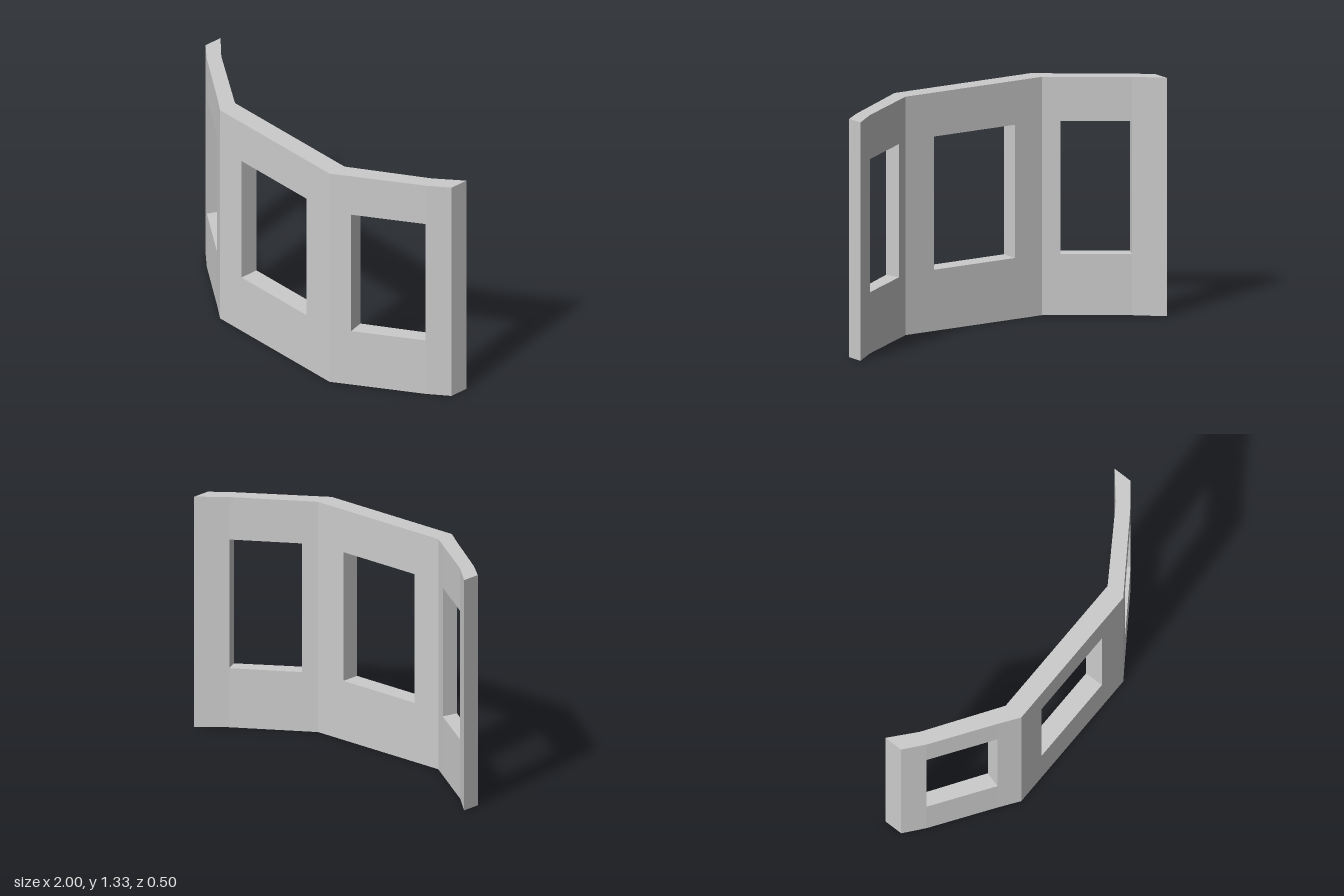
import * as THREE from 'three';

// Plan stations from right to left: front x, z, back x, z; open = a window spans to the next station
const stations = [
  { f: [-1, -0.145], b: [-1, -0.255] },
  { f: [-0.89, -0.055], b: [-0.855, -0.13], open: true },
  { f: [-0.555, 0.172], b: [-0.53, 0.084] },
  { f: [-0.445, 0.25], b: [-0.445, 0.14] },
  { f: [-0.27, 0.25], b: [-0.27, 0.14], open: true },
  { f: [0.258, 0.25], b: [0.258, 0.14] },
  { f: [0.445, 0.25], b: [0.445, 0.14] },
  { f: [0.545, 0.181], b: [0.52, 0.091], open: true },
  { f: [0.89, -0.055], b: [0.855, -0.13] },
  { f: [1, -0.145], b: [1, -0.255] },
];

// Heights: floor, window sill, window head, top
const levels = [0, 0.342, 1.087, 1.333];

function wallGeometry() {
  const positions = [];
  const at = ([x, z], y) => [x, y, z];
  const quad = (a, b, c, d) => positions.push(...a, ...b, ...c, ...a, ...c, ...d);

  // Upright face from plan point p to q, outward to the right of travel
  const upright = (p, q, band) => {
    const lo = levels[band], hi = levels[band + 1];
    quad(at(p, lo), at(q, lo), at(q, hi), at(p, hi));
  };
  // Level face between two stations, facing up or down
  const level = (s, t, y, up) => {
    const c = [at(s.f, y), at(t.f, y), at(t.b, y), at(s.b, y)];
    quad(...(up ? c : c.reverse()));
  };

  for (let i = 0; i < stations.length - 1; i++) {
    const s = stations[i], t = stations[i + 1];
    for (let band = 0; band < 3; band++) {
      if (band === 1 && s.open) {
        // Window reveal: two jambs, sill and head
        upright(s.f, s.b, band);
        upright(t.b, t.f, band);
        level(s, t, levels[1], true);
        level(s, t, levels[2], false);
      } else {
        upright(s.f, t.f, band);
        upright(t.b, s.b, band);
      }
    }
    level(s, t, levels[3], true);
    level(s, t, levels[0], false);
  }

  // End faces
  const first = stations[0], last = stations[stations.length - 1];
  for (let band = 0; band < 3; band++) {
    upright(first.b, first.f, band);
    upright(last.f, last.b, band);
  }

  const geometry = new THREE.BufferGeometry();
  geometry.setAttribute('position', new THREE.Float32BufferAttribute(positions, 3));
  geometry.computeVertexNormals();
  return geometry;
}

export function createModel() {
  const model = new THREE.Group();
  model.name = 'bayWall';
  const material = new THREE.MeshStandardMaterial({ color: 0xcccccc, flatShading: true });
  const wall = new THREE.Mesh(wallGeometry(), material);
  wall.name = 'wallWithWindows';
  model.add(wall);
  return model;
}
